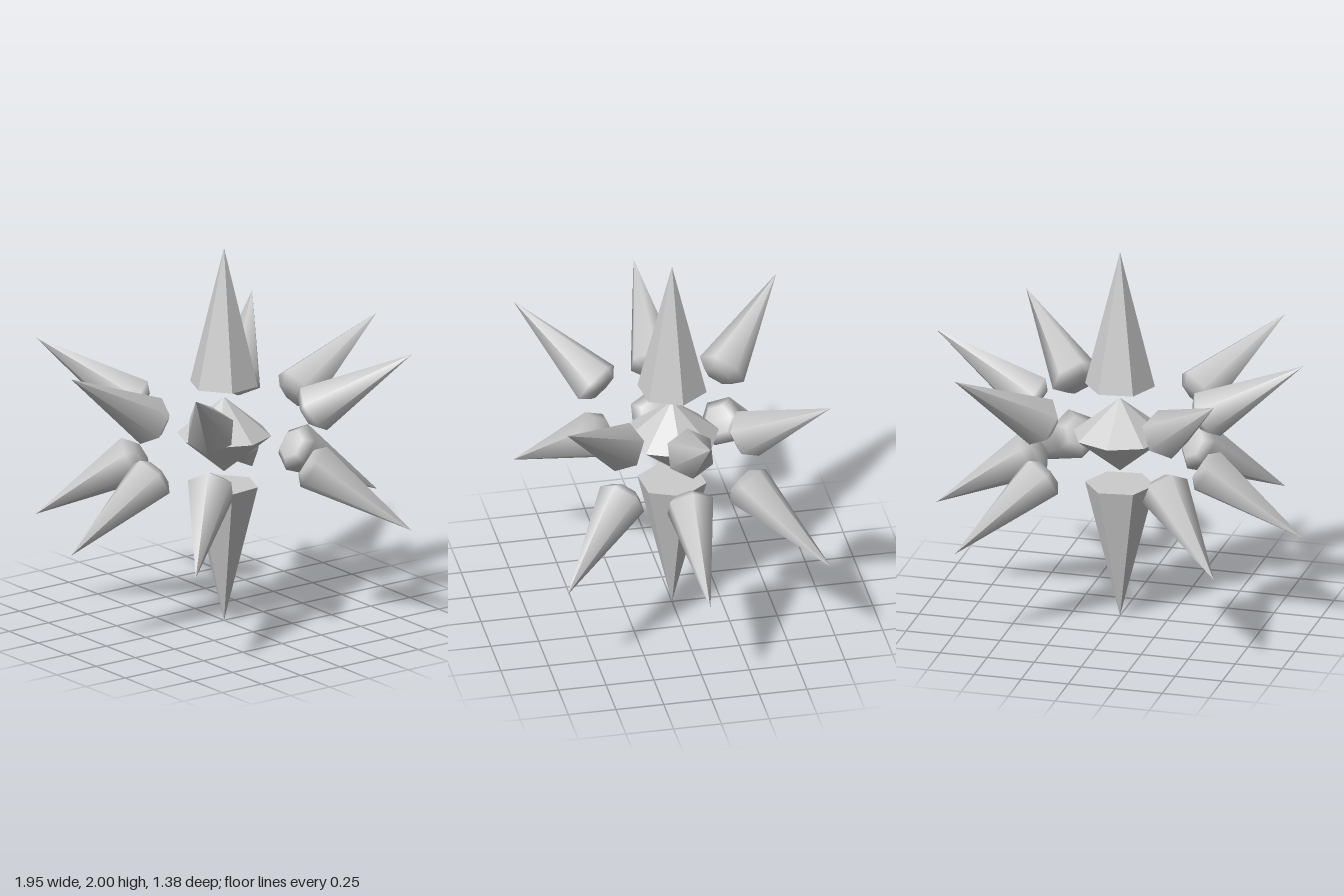
import * as THREE from 'three';

const rad = THREE.MathUtils.degToRad;
const flat = new THREE.MeshStandardMaterial({ color: 0xcccccc, flatShading: true });
const smooth = new THREE.MeshStandardMaterial({ color: 0xcccccc });

function lathe(points, sides) {
  return new THREE.LatheGeometry(points.map(([r, y]) => new THREE.Vector2(r, y)), sides);
}

export function createModel() {
  const model = new THREE.Group();
  model.name = 'spikedStar';

  const add = (name, geometry, material, x, y, z) => {
    const mesh = new THREE.Mesh(geometry, material);
    mesh.name = name;
    mesh.position.set(x, y, z);
    model.add(mesh);
    return mesh;
  };

  // Eight-sided double pyramid at the centre
  add('core', lathe([[0, -0.2], [0.245, 0], [0, 0.2]], 8), flat, 0, 1, 0);

  // Large six-sided spikes pointing straight up and down
  const length = 0.729, width = 0.181, turn = rad(37);
  const top = new THREE.CylinderGeometry(0, width, length, 6, 1, false, turn);
  const bottom = new THREE.CylinderGeometry(width, 0, length, 6, 1, false, turn);
  add('topSpike', top, flat, 0, 2 - length / 2, 0);
  add('bottomSpike', bottom, flat, 0, length / 2, 0);

  // Slanted spikes with a tapered inner end, in an upper and a lower ring
  const spike = lathe([[0, -0.045], [0.08, -0.045], [0.13, 0], [0, 0.602]], 6);
  const distance = 0.465, rise = 0.155, tilt = rad(58);
  for (const side of [1, -1]) {
    for (const degrees of [45, 90, 135, 225, 270, 315]) {
      const a = rad(degrees);
      const mesh = add(side > 0 ? 'upperSpike' : 'lowerSpike', spike, smooth,
        distance * Math.sin(a), 1 + side * rise, distance * Math.cos(a));
      mesh.rotation.set(side > 0 ? tilt : Math.PI - tilt, a, 0, 'YXZ');
    }
  }
  return model;
}
